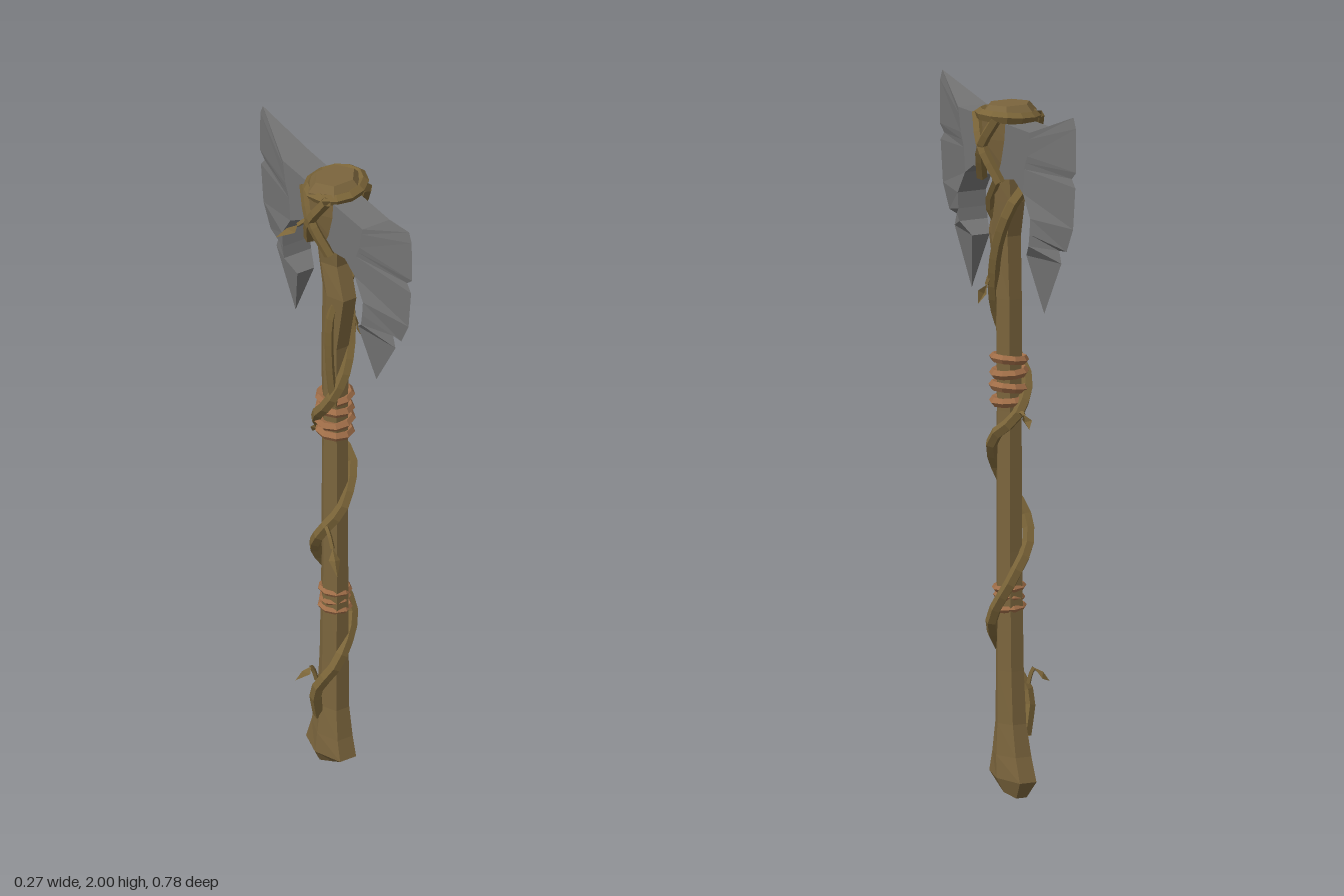
import * as THREE from 'three';

const V = (x, y, z) => new THREE.Vector3(x, y, z);
const mat = (name, color, extra = {}) => {
  const m = new THREE.MeshStandardMaterial({ color, flatShading: true, ...extra });
  m.name = name;
  return m;
};

// Collects flat faces, each turned to look along its given outward direction
function faceBuilder() {
  const pos = [];
  const tri = (a, b, c, out) => {
    const n = b.clone().sub(a).cross(c.clone().sub(a));
    const order = n.dot(out) < 0 ? [a, c, b] : [a, b, c];
    order.forEach(p => pos.push(p.x, p.y, p.z));
  };
  const quad = (a, b, c, d, out) => { tri(a, b, c, out); tri(a, c, d, out); };
  const build = () => {
    const g = new THREE.BufferGeometry();
    g.setAttribute('position', new THREE.Float32BufferAttribute(pos, 3));
    g.computeVertexNormals();
    return g;
  };
  return { tri, quad, build };
}

// Uneven six-sided shaft; rows are [y, centre x, centre z, radius x, radius z, slope along z]
function handleGeometry() {
  const rows = [
    [0.02, 0.025, -0.02, 0.033, 0.045, 0.28],
    [0.056, 0.023, -0.01, 0.053, 0.092, 0.05],
    [0.12, 0.024, -0.006, 0.050, 0.070, 0],
    [0.21, 0.026, -0.004, 0.043, 0.052, 0],
    [0.36, 0.027, 0, 0.040, 0.046, 0],
    [0.70, 0.028, 0.002, 0.038, 0.041, 0],
    [1.10, 0.028, 0.002, 0.037, 0.040, 0],
    [1.42, 0.030, 0, 0.040, 0.040, 0],
    [1.60, 0.033, 0.018, 0.043, 0.056, 0],
    [1.70, 0.033, -0.008, 0.045, 0.050, 0],
    [1.78, 0.033, -0.004, 0.055, 0.055, 0],
    [1.88, 0.033, -0.004, 0.082, 0.064, 0],
    [1.95, 0.033, -0.006, 0.088, 0.066, 0],
    [1.975, 0.033, -0.006, 0.064, 0.046, 0],
  ];
  const f = faceBuilder(), n = 6;
  const rings = rows.map(([y, cx, cz, rx, rz, s]) => Array.from({ length: n }, (_, i) => {
    const a = i / n * Math.PI * 2, z = cz + Math.sin(a) * rz * 1.1;
    return V(cx + Math.cos(a) * rx, y + s * z, z);
  }));
  for (let r = 0; r < rings.length - 1; r++) for (let i = 0; i < n; i++) {
    const j = (i + 1) % n, a = (i + 0.5) / n * Math.PI * 2;
    f.quad(rings[r][i], rings[r][j], rings[r + 1][j], rings[r + 1][i], V(Math.cos(a), 0, Math.sin(a)));
  }
  [[rings[0], -1], [rings[rings.length - 1], 1]].forEach(([ring, dir]) => {
    for (let i = 1; i < n - 1; i++) f.tri(ring[0], ring[i], ring[i + 1], V(0, dir, 0));
  });
  return f.build();
}

const BX = 0.033, BT = 0.045; // blade centre and half thickness
// Blade stations from top corner to lower tip: edge z, edge y, ridge z, ridge y
const STATIONS = [
  [0.375, 2.0, 0.205, 1.93], [0.388, 1.97, 0.2, 1.91], [0.39, 1.845, 0.19, 1.86],
  [0.365, 1.823, 0.18, 1.84], [0.385, 1.80, 0.172, 1.82], [0.372, 1.68, 0.165, 1.75],
  [0.335, 1.61, 0.207, 1.685], [0.293, 1.605, 0.203, 1.64], [0.305, 1.57, 0.197, 1.605],
  [0.207, 1.41, 0.155, 1.57],
];

// Wedge running from the thick ridge to the chipped cutting edge
function wingGeometry(side) {
  const f = faceBuilder();
  const rows = STATIONS.map(([ez, ey, rz, ry], i) => {
    const t = i === 9 ? 0.028 : BT;
    return { e: V(BX, ey, ez * side), l: V(BX - t, ry, rz * side), r: V(BX + t, ry, rz * side) };
  });
  for (let i = 0; i < rows.length - 1; i++) {
    const a = rows[i], b = rows[i + 1];
    f.quad(a.e, b.e, b.r, a.r, V(1, 0, 0));
    f.quad(a.e, b.e, b.l, a.l, V(-1, 0, 0));
    if (i >= 5) f.quad(a.l, b.l, b.r, a.r, V(0, -0.3, -side));
  }
  const top = rows[0], tip = rows[rows.length - 1];
  f.tri(top.e, top.l, top.r, V(0, 1, 0));
  f.tri(tip.e, tip.l, tip.r, V(0, -0.3, -side));
  return f.build();
}

// Thick flat core joining both wings
function coreGeometry() {
  const half = STATIONS.slice(0, 6).map(s => [s[2], s[3]]).concat([[0.115, 1.78], [0.06, 1.77]]);
  const pts = half.concat(half.slice().reverse().map(([z, y]) => [-z, y]));
  const shape = new THREE.Shape(pts.map(([z, y]) => new THREE.Vector2(z, y)));
  const g = new THREE.ExtrudeGeometry(shape, { depth: BT * 2, bevelEnabled: false });
  return g.rotateY(-Math.PI / 2).translate(BX + BT, 0, 0);
}

const tube = (pts, segs, r, closed = false, sides = 5) =>
  new THREE.TubeGeometry(new THREE.CatmullRomCurve3(pts.map(p => V(...p)), closed), segs, r, sides, closed);

// Folded leaf between two points
function leafGeometry(base, tip, wide, width) {
  const f = faceBuilder(), b = V(...base), t = V(...tip), w = V(...wide).normalize();
  const up = w.clone().cross(t.clone().sub(b)).normalize();
  const mid = b.clone().lerp(t, 0.45).addScaledVector(up, -0.008);
  [1, -1].forEach(s => {
    const edge = b.clone().lerp(t, 0.4).addScaledVector(w, s * width).addScaledVector(up, 0.006);
    f.tri(b, edge, mid, up);
    f.tri(edge, t, mid, up);
  });
  return f.build();
}

export function createModel() {
  const group = new THREE.Group();
  const wood = mat('wood', 0x7b653d);
  const vineMat = mat('vine', 0x7a6438, { side: THREE.DoubleSide });
  const steel = mat('steel', 0x747474);
  const cord = mat('cord', 0xa06e48);
  const add = (name, geo, m, parent = group) => {
    const mesh = new THREE.Mesh(geo, m);
    mesh.name = name;
    parent.add(mesh);
    return mesh;
  };

  add('handle', handleGeometry(), wood);

  // Double blade
  const blade = new THREE.Group();
  blade.name = 'doubleBlade';
  group.add(blade);
  add('bladeCore', coreGeometry(), steel, blade);
  add('frontBlade', wingGeometry(1), steel, blade);
  add('backBlade', wingGeometry(-1), steel, blade);

  // Vine climbing around the handle
  add('climbingVine', tube([
    [-0.01, 0.17, -0.02], [-0.037, 0.28, 0.01], [0.01, 0.385, 0.052], [0.083, 0.5, 0.005],
    [0.045, 0.63, -0.052], [-0.01, 0.72, -0.04], [-0.026, 0.8, 0.01], [0.025, 0.9, 0.052],
    [0.083, 1.02, 0.0], [0.04, 1.09, -0.06], [-0.018, 1.18, -0.02], [-0.012, 1.25, 0.035],
    [0.03, 1.34, 0.05], [0.072, 1.45, 0.015], [0.082, 1.58, -0.025], [0.06, 1.69, -0.062],
    [0.0, 1.76, -0.055], [-0.035, 1.83, -0.01],
  ], 46, 0.018), vineMat);
  // Short second strand under the blade
  add('upperVine', tube([[0.0, 1.24, 0.04], [-0.012, 1.4, 0.035], [0.0, 1.55, 0.03], [0.075, 1.68, 0.03], [0.09, 1.77, -0.04]], 14, 0.013), vineMat);

  // Crossed binding over the head, on both cheeks
  [1, -1].forEach(sx => [1, -1].forEach(sz => {
    add('crossBinding', tube([
      [BX + sx * 0.055, 1.76, -sz * 0.052], [BX + sx * 0.085, 1.86, 0], [BX + sx * 0.068, 1.945, sz * 0.055],
    ], 7, 0.016), vineMat);
  }));
  // Ring of vine around the top
  add('topRing', tube(Array.from({ length: 8 }, (_, i) => {
    const a = i / 8 * Math.PI * 2;
    return [BX + 0.005 + Math.cos(a) * 0.08, 1.943 + Math.cos(a) * 0.006, -0.008 + Math.sin(a) * 0.071];
  }), 12, 0.017, true), vineMat);

  // Cord wraps
  [[1.128, 0.043, 0.014], [1.166, 0.045, 0.014], [1.207, 0.043, 0.014], [1.246, 0.044, 0.013],
    [0.538, 0.040, 0.010], [0.568, 0.036, 0.010], [0.595, 0.039, 0.010]].forEach(([y, r, t], i) => {
    const g = new THREE.TorusGeometry(r, t, 5, 9).rotateX(Math.PI / 2).rotateZ(i % 2 ? 0.1 : -0.08);
    add('cordWrap', g.translate(0.029, y, 0.001), cord);
  });

  // Leaves on short stems: stem start, leaf base, leaf tip, width direction, half width
  [
    [[-0.035, 1.85, -0.01], [-0.075, 1.835, -0.03], [-0.14, 1.81, -0.042], [0, 0.4, 1], 0.028],
    [[-0.025, 0.84, 0.04], [-0.03, 0.79, 0.08], [-0.045, 0.725, 0.128], [1, 0, 0.5], 0.016],
    [[-0.035, 0.31, 0.005], [-0.05, 0.355, 0], [-0.092, 0.315, -0.015], [0, 0.4, 1], 0.022],
    [[0.08, 1.5, 0.0], [0.095, 1.46, 0.01], [0.118, 1.405, 0.02], [0.6, 0.3, 1], 0.014],
    [[0.035, 1.09, -0.06], [0.03, 1.10, -0.085], [0.025, 1.06, -0.107], [1, 0.2, 0], 0.016],
  ].forEach(([start, base, tip, wide, width]) => {
    const mid = base.map((v, i) => (v + start[i]) / 2 + (i === 1 ? 0.008 : 0));
    add('leafStem', tube([start, mid, base], 4, 0.007, false, 4), vineMat);
    add('leaf', leafGeometry(base, tip, wide, width), vineMat);
  });

  return group;
}
